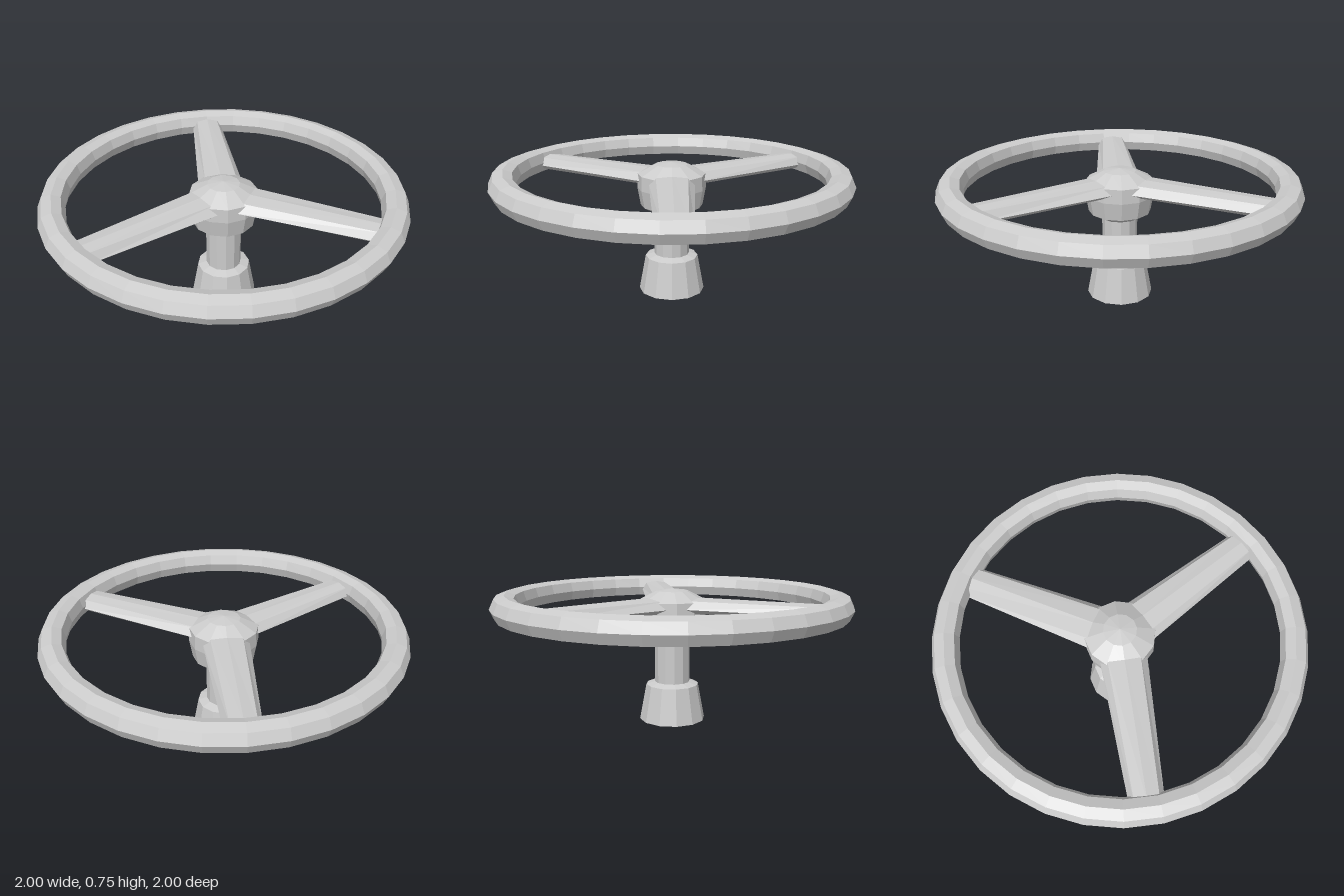
import * as THREE from 'three';

const material = new THREE.MeshStandardMaterial({ color: 0xcccccc, flatShading: true });

// Turned part from [radius, height] pairs, listed bottom to top on the outside
function turned(name, profile, sides) {
  const points = profile.map(([r, y]) => new THREE.Vector2(r, y));
  const mesh = new THREE.Mesh(new THREE.LatheGeometry(points, sides), material);
  mesh.name = name;
  return mesh;
}

// Tapered bar with bevelled shoulders and a slight ridge, running from hub to rim
function spokeGeometry() {
  const inner = 0.1, outer = 0.9;
  const half = [[0.085, 0.63], [0.125, 0.655], [0.088, 0.698]];
  const section = [
    ...half,
    [0, 0.708],
    ...half.slice().reverse().map(([x, y]) => [-x, y]),
  ].map(([x, y]) => new THREE.Vector2(x, y));
  const geometry = new THREE.ExtrudeGeometry(new THREE.Shape(section), {
    depth: outer - inner, bevelEnabled: false,
  });
  geometry.translate(0, 0, inner);
  const pos = geometry.attributes.position;
  for (let i = 0; i < pos.count; i++) {
    const t = (pos.getZ(i) - inner) / (outer - inner);
    pos.setX(i, pos.getX(i) * THREE.MathUtils.lerp(1.02, 0.71, t));
  }
  geometry.computeVertexNormals();
  return geometry;
}

export function createModel() {
  const model = new THREE.Group();
  model.name = 'handwheel';

  // Rim with a rounded top and flat underside
  model.add(turned('rim', [
    [0.975, 0.615], [1, 0.67], [0.975, 0.725], [0.92, 0.742],
    [0.87, 0.725], [0.852, 0.67], [0.87, 0.615], [0.975, 0.615],
  ], 32));

  // Flared foot, shaft and domed hub
  model.add(turned('foot', [[0, 0], [0.188, 0], [0.15, 0.205], [0.1, 0.22], [0, 0.22]], 12));
  model.add(turned('shaft', [[0.1, 0.2], [0.1, 0.49]], 12));
  model.add(turned('hub', [
    [0, 0.475], [0.11, 0.475], [0.175, 0.51], [0.193, 0.61],
    [0.19, 0.69], [0.09, 0.742], [0, 0.755],
  ], 12));

  // Three spokes, one pointing to the back
  const geometry = spokeGeometry();
  for (let i = 0; i < 3; i++) {
    const spoke = new THREE.Mesh(geometry, material);
    spoke.name = `spoke${i + 1}`;
    spoke.rotation.y = Math.PI + (i * Math.PI * 2) / 3;
    model.add(spoke);
  }
  return model;
}
